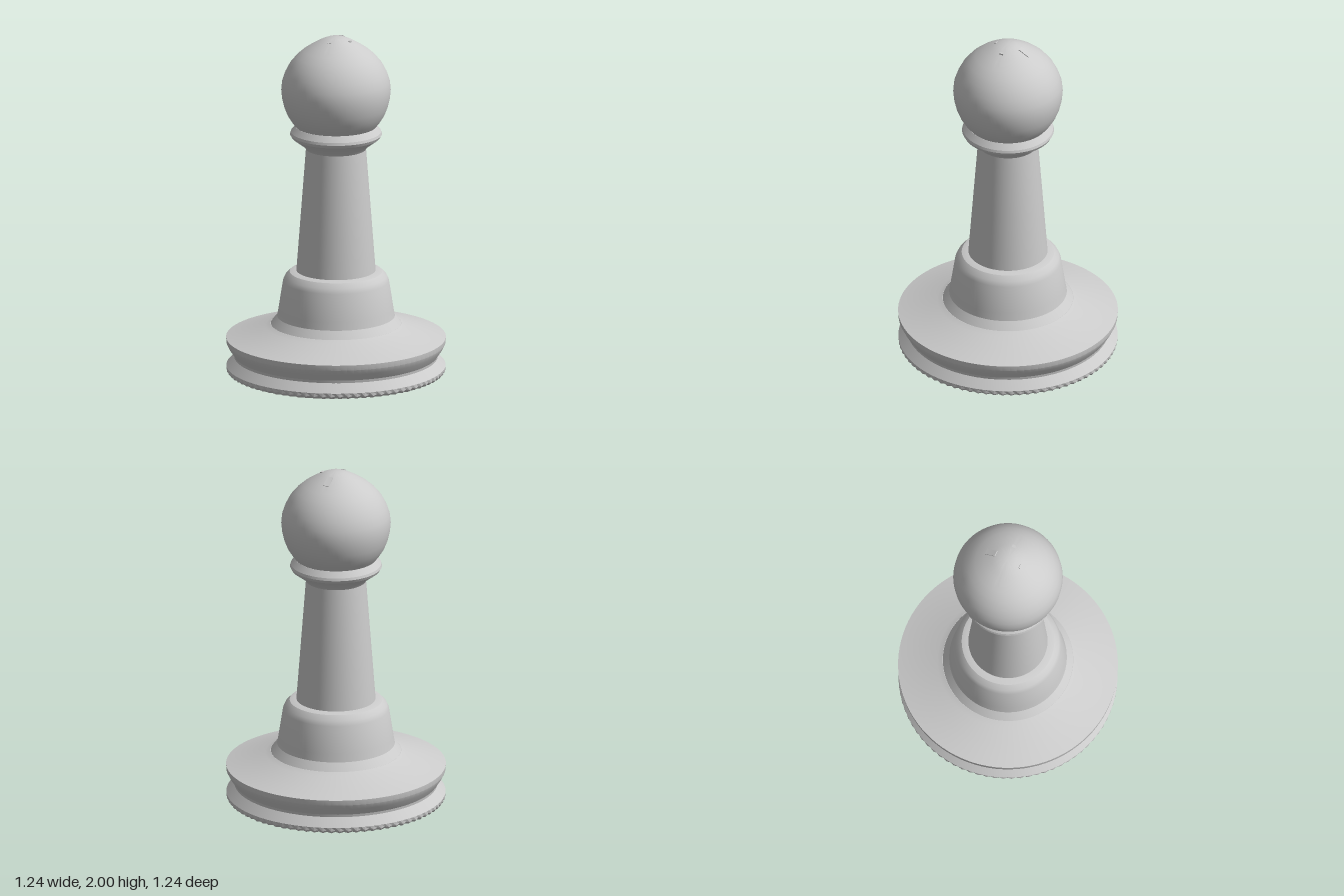
import * as THREE from 'three';
import { toCreasedNormals } from 'three/addons/utils/BufferGeometryUtils.js';

const material = new THREE.MeshStandardMaterial({ color: 0xcccccc });

// Turns a profile of [radius, height] points, listed from bottom to top.
function lathe(points, segments = 96) {
  return new THREE.LatheGeometry(points.map(([r, y]) => new THREE.Vector2(r, y)), segments);
}

function addPart(group, name, geometry, crease = 0.4) {
  const mesh = new THREE.Mesh(toCreasedNormals(geometry, crease), material);
  mesh.name = name;
  group.add(mesh);
  return mesh;
}

// Foot disc whose lower rim is cut with fine radial flutes.
function flutedFoot() {
  const profile = [[0, 0], [0.53, 0.022], [0.61, 0.04], [0.62, 0.052], [0.62, 0.075], [0.575, 0.125], [0, 0.125]];
  const geometry = lathe(profile, 160);
  const pos = geometry.attributes.position;
  for (let k = 0; k < pos.count; k++) {
    const ring = k % profile.length;
    const spoke = Math.floor(k / profile.length);
    if ((ring === 2 || ring === 3) && spoke % 2) {
      pos.setXYZ(k, pos.getX(k) * 0.992, pos.getY(k) + 0.006, pos.getZ(k) * 0.992);
    }
  }
  return geometry;
}

export function createModel() {
  const group = new THREE.Group();
  group.name = 'pawn';

  addPart(group, 'flutedFoot', flutedFoot(), 0.15);

  // Waisted base with a wide sloping top
  addPart(group, 'base', lathe([
    [0, 0.12], [0.575, 0.12], [0.578, 0.14], [0.605, 0.18], [0.62, 0.21], [0.622, 0.24],
    [0.4, 0.305], [0.37, 0.32], [0, 0.32],
  ]));

  // Tapered pedestal with a rounded shoulder
  addPart(group, 'pedestal', lathe([
    [0, 0.3], [0.39, 0.307], [0.37, 0.318], [0.333, 0.365], [0.325, 0.41], [0.3, 0.57],
    [0.288, 0.598], [0.262, 0.624], [0.235, 0.632], [0, 0.632],
  ]));

  addPart(group, 'shaft', lathe([[0, 0.6], [0.225, 0.62], [0.17, 1.345], [0, 1.36]]));

  // Flared collar beneath the head
  addPart(group, 'collar', lathe([
    [0, 1.34], [0.168, 1.34], [0.182, 1.362], [0.25, 1.412], [0.26, 1.43], [0.256, 1.445],
    [0.23, 1.478], [0, 1.485],
  ]));

  // Ball head with a slightly pointed crown
  addPart(group, 'head', lathe([
    [0, 1.47], [0.222, 1.47], [0.25, 1.505], [0.275, 1.545], [0.293, 1.59], [0.305, 1.64],
    [0.31, 1.69], [0.305, 1.74], [0.288, 1.79], [0.262, 1.84], [0.225, 1.885], [0.185, 1.92],
    [0.14, 1.95], [0.09, 1.978], [0.05, 1.995], [0, 2],
  ]));

  // Small marks on the crown: [name, x, y, z, width, length, tilt]
  const marks = [
    ['backMark', 0, 1.969, -0.105, 0.035, 0.07, -0.51],
    ['frontMark', -0.01, 1.981, 0.08, 0.025, 0.012, 0.45],
    ['sideMark', 0.085, 1.98, 0, 0.016, 0.025, 0],
  ];
  for (const [name, x, y, z, width, length, tilt] of marks) {
    const mark = addPart(group, name, new THREE.BoxGeometry(width, 0.008, length));
    mark.position.set(x, y, z);
    mark.rotation.x = tilt;
  }

  return group;
}
